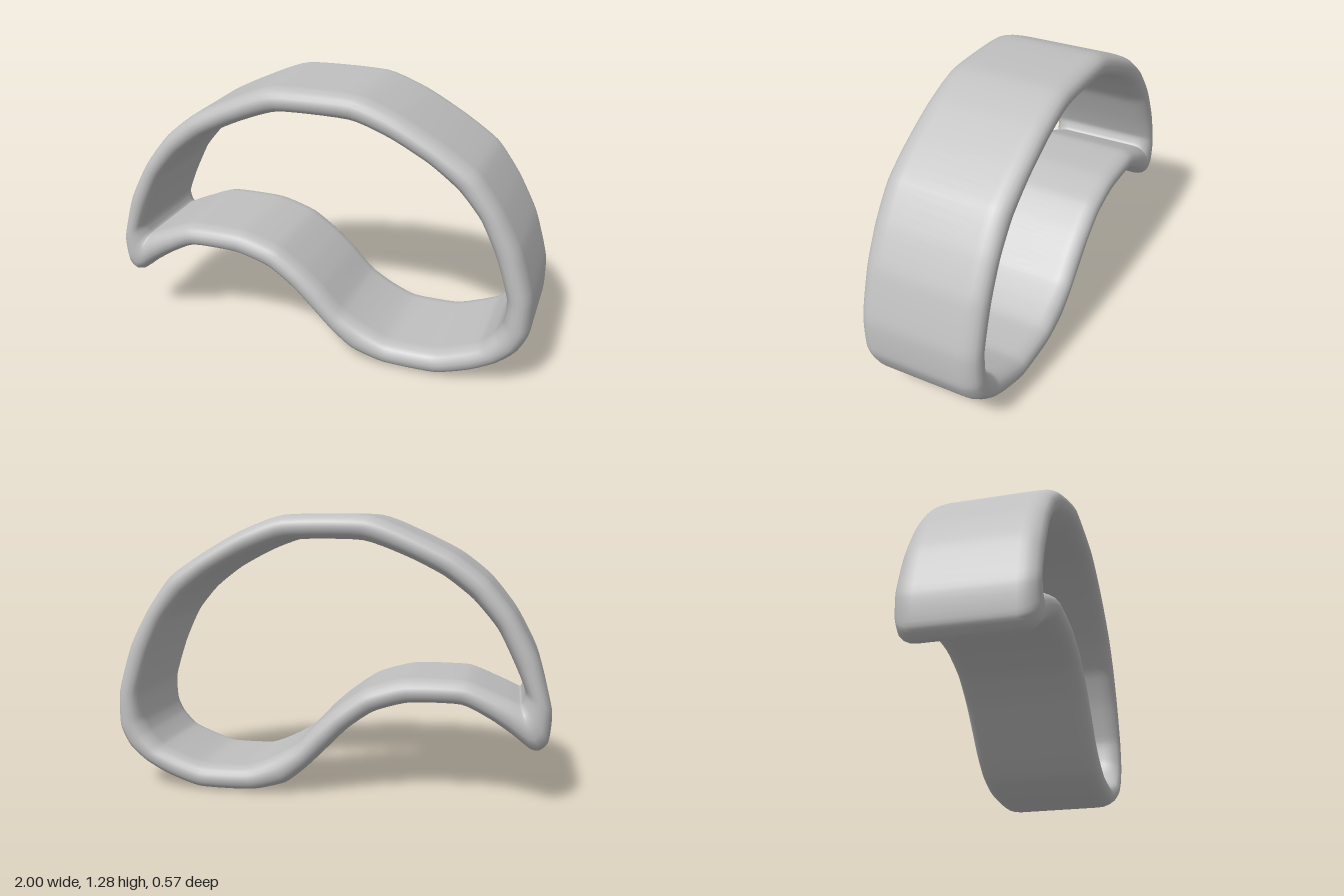
import * as THREE from 'three';

// Paired outline points, clockwise from the pointed tip: outer x, y, inner x, y
const STATIONS = [
  [-0.95, 0.26, -0.868, 0.465], [-0.99, 0.3, -0.877, 0.48], [-1, 0.44, -0.885, 0.52],
  [-0.94, 0.66, -0.84, 0.63], [-0.84, 0.85, -0.76, 0.79], [-0.72, 1.0, -0.65, 0.92],
  [-0.58, 1.11, -0.52, 1.02], [-0.4, 1.2, -0.36, 1.1], [-0.19, 1.28, -0.16, 1.17],
  [0.19, 1.28, 0.17, 1.17], [0.39, 1.21, 0.35, 1.11], [0.57, 1.11, 0.52, 1.02],
  [0.73, 1.0, 0.65, 0.92], [0.84, 0.85, 0.75, 0.8], [0.93, 0.68, 0.825, 0.64],
  [0.995, 0.46, 0.885, 0.45], [0.997, 0.29, 0.88, 0.33], [0.95, 0.19, 0.85, 0.265],
  [0.87, 0.12, 0.79, 0.2], [0.76, 0.06, 0.71, 0.165], [0.6, 0.008, 0.58, 0.122],
  [0.35, 0.008, 0.37, 0.122], [0.19, 0.05, 0.25, 0.17], [0.09, 0.13, 0.14, 0.235],
  [-0.01, 0.23, 0.04, 0.34], [-0.1, 0.32, -0.05, 0.42], [-0.22, 0.405, -0.18, 0.51],
  [-0.38, 0.452, -0.36, 0.562], [-0.61, 0.452, -0.62, 0.562], [-0.74, 0.39, -0.75, 0.515],
  [-0.83, 0.33, -0.82, 0.485], [-0.91, 0.268, -0.86, 0.466],
];

const outline = (k) => new THREE.CatmullRomCurve3(
  STATIONS.map((s) => new THREE.Vector3(s[k], s[k + 1], 0)), true, 'catmullrom', 0.3);

// Closed band whose cross-section spans the two outlines, with rounded rims
function bandGeometry() {
  const outer = outline(0), inner = outline(2);
  const along = STATIONS.length * 5, arc = 10, around = 2 * (arc + 1);
  const pos = [], index = [];
  for (let i = 0; i < along; i++) {
    const o = outer.getPoint(i / along), n = inner.getPoint(i / along);
    for (let j = 0; j < around; j++) {
      const front = j <= arc;
      const a = (front ? j : j - 1) * Math.PI / arc;
      const c = Math.cos(a);
      const u = Math.sign(c) * Math.pow(Math.abs(c), 0.85);
      const p = n.clone().lerp(o, (1 + u) / 2);
      pos.push(p.x, p.y, (front ? 0.2 : -0.2) + 0.083 * Math.sin(a));
    }
  }
  for (let i = 0; i < along; i++) {
    const i2 = (i + 1) % along;
    for (let j = 0; j < around; j++) {
      const j2 = (j + 1) % around;
      const a = i * around + j, b = i * around + j2;
      const c = i2 * around + j, d = i2 * around + j2;
      index.push(a, b, c, b, d, c);
    }
  }
  const g = new THREE.BufferGeometry();
  g.setAttribute('position', new THREE.Float32BufferAttribute(pos, 3));
  g.setIndex(index);
  g.computeVertexNormals();
  return g;
}

export function createModel() {
  const group = new THREE.Group();
  const grey = new THREE.MeshStandardMaterial({ color: 0xc0c0c0 });
  grey.name = 'light grey';
  const band = new THREE.Mesh(bandGeometry(), grey);
  band.name = 'curvedBand';
  group.add(band);
  return group;
}
